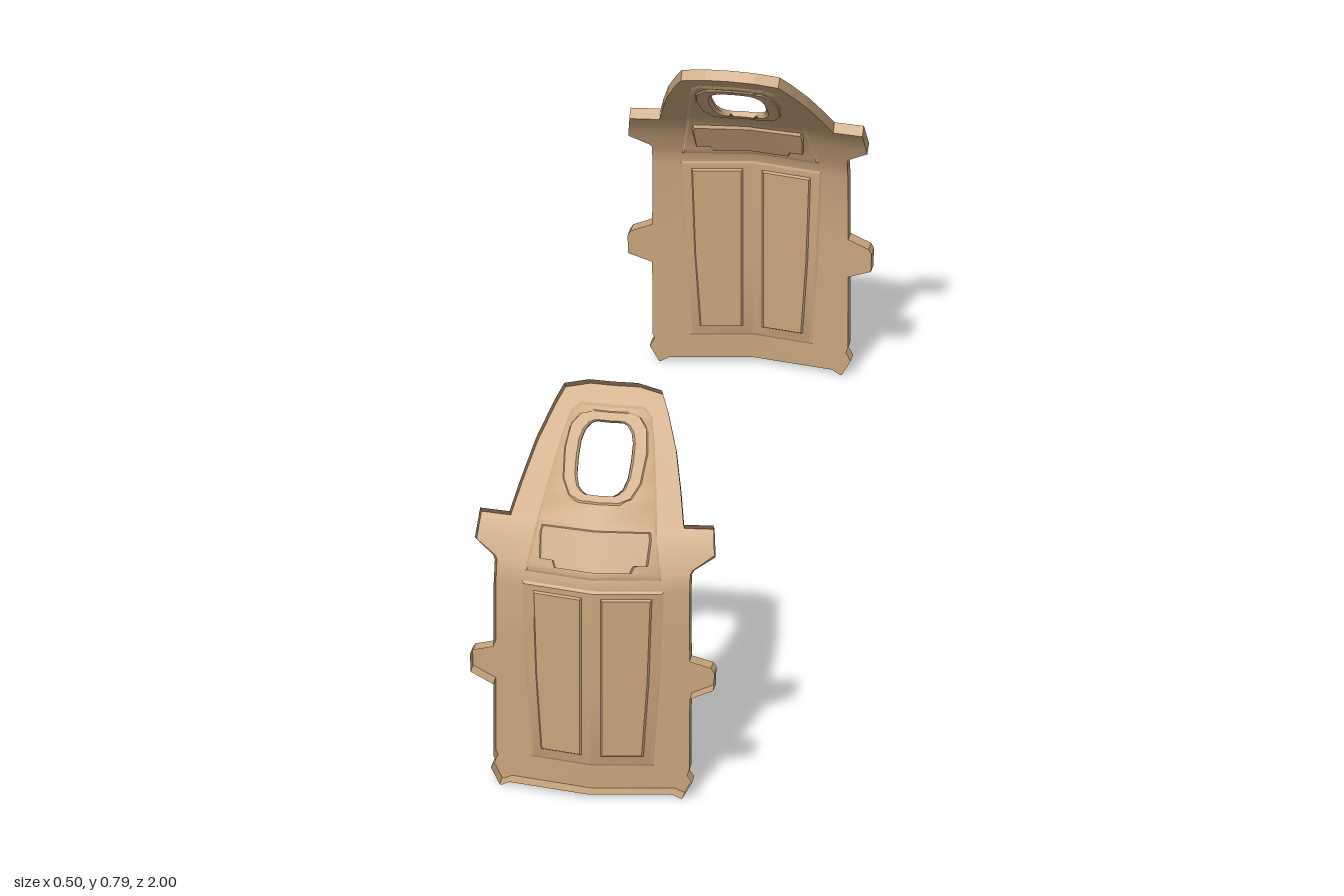
import * as THREE from 'three';
import { toCreasedNormals } from 'three/addons/utils/BufferGeometryUtils.js';

// Piecewise-linear lookup in [[key, value], ...]; "at" selects the segment, so steps are allowed
function lerpAt(list, y, at = y) {
  let i = 0;
  while (i < list.length - 2 && list[i + 1][0] < at) i++;
  const [a, b] = [list[i], list[i + 1]];
  return a[1] + (b[1] - a[1]) * (y - a[0]) / (b[0] - a[0]);
}

// Sheet: folded profile, sweep back from the middle line, and tilt of the outward direction
const PROFILE = [[-0.02, 0.97], [0.06, 0.97], [0.45, 0.97], [0.49, 0.957], [0.571, 0.91], [0.8, 0.66]];
const SWEEP = [[-0.02, 0.17], [0.45, 0.17], [0.571, 0.1], [0.8, 0.04]];
const TILT = [[-0.02, 0], [0.45, 0], [0.49, 0.42], [0.571, 0.8], [0.8, 0.83]];
// Point on the sheet, pushed outward by d
function sheetPoint(x, y, d) {
  const t = lerpAt(TILT, y);
  return [x, y + Math.sin(t) * d, lerpAt(PROFILE, y) - lerpAt(SWEEP, y) * x + Math.cos(t) * d];
}

// Mirrored sheet between an inner and an outer half-outline of [y, x] points.
// The face lies at depth "face", inset by "bevel"; walls run from its edge to depth wall(x, y).
function shell(inner, outer, face, wall, bevel) {
  const lo = outer[0][0], hi = outer[outer.length - 1][0];
  const ys = [...new Set([...inner, ...outer, ...PROFILE].map((p) => p[0]))]
    .filter((y) => y >= lo && y <= hi).sort((a, b) => a - b);
  const cells = ys.slice(1).map((y1, i) => {
    const y0 = ys[i], mid = (y0 + y1) / 2;
    return { y0, y1, a0: lerpAt(inner, y0, mid), a1: lerpAt(inner, y1, mid),
      b0: lerpAt(outer, y0, mid), b1: lerpAt(outer, y1, mid) };
  });
  const pos = [];
  const quad = (a, b, c, d) => {
    for (const p of [a, b, c, a, c, d]) pos.push(...p);
    for (const p of [d, c, b, d, b, a]) pos.push(-p[0], p[1], p[2]);
  };
  const top = (x, y, side) => sheetPoint(x + (x > 0 ? side * bevel : 0),
    y === lo ? y + bevel : y === hi ? y - bevel : y, face);
  const foot = (x, y) => sheetPoint(x, y, wall(x, y));
  // Wall across a row, over the stretch the neighbouring cell leaves open
  const cap = (x0, x1, y) => {
    if (x1 - x0 > 1e-5) quad(top(x0, y, 1), foot(x0, y), foot(x1, y), top(x1, y, -1));
  };
  const caps = (a, b, y, na, nb) => {
    cap(a, Math.min(b, na), y);
    cap(Math.max(a, nb), b, y);
  };
  cells.forEach((c, i) => {
    const { y0, y1, a0, a1, b0, b1 } = c;
    quad(top(a0, y0, 1), top(b0, y0, -1), top(b1, y1, -1), top(a1, y1, 1));
    quad(top(b0, y0, -1), foot(b0, y0), foot(b1, y1), top(b1, y1, -1));
    if (a0 > 0 || a1 > 0) quad(foot(a0, y0), top(a0, y0, 1), top(a1, y1, 1), foot(a1, y1));
    const below = cells[i - 1], above = cells[i + 1];
    if (below) caps(a0, b0, y0, below.a1, below.b1);
    else cap(a0, b0, y0);
    if (above) caps(a1, b1, y1, above.a0, above.b0);
    else cap(a1, b1, y1);
  });
  const geo = new THREE.BufferGeometry();
  geo.setAttribute('position', new THREE.Float32BufferAttribute(pos, 3));
  return toCreasedNormals(geo, 0.55);
}

// Rounded opening in the upper part
const HOLE = [[0.615, 0], [0.615, 0.026], [0.619, 0.036], [0.626, 0.045], [0.642, 0.052], [0.668, 0.054],
  [0.694, 0.053], [0.71, 0.047], [0.72, 0.037], [0.725, 0.024], [0.725, 0], [0.8, 0]];
const HOLED = [[0, 0], ...HOLE];
const SOLID = [[0, 0], [0.8, 0]];

const BODY_INNER = [[0, 0.183], [0.009, 0.167], [0.009, 0], ...HOLE];
const BODY_OUTER = [
  [0, 0.187], [0.035, 0.206], [0.052, 0.196], [0.062, 0.2],                     // corner claw
  [0.225, 0.201], [0.245, 0.249], [0.285, 0.25], [0.295, 0.244], [0.31, 0.201], // side tab
  [0.49, 0.2], [0.497, 0.204], [0.522, 0.245], [0.573, 0.239], [0.573, 0.178],  // shoulder tab
  [0.625, 0.163], [0.685, 0.143], [0.74, 0.117], [0.769, 0.1], [0.778, 0.05],   // tapered top
];

// Rim flange depth; only a small lip around the opening
const rim = (x, y) => (x < 0.06 && y > 0.6 && y < 0.73 ? 0.006
  : THREE.MathUtils.mapLinear(THREE.MathUtils.clamp(y, 0.45, 0.57), 0.45, 0.57, 0.03, 0.023));

// Pressed details: [name, inner, outer, height]
const DETAILS = [
  ['lowerFrame', SOLID, [[0.06, 0.125], [0.25, 0.137], [0.455, 0.146]], 0.003],
  ['lowerPanels', [[0, 0.018], [0.8, 0.018]], [[0.08, 0.107], [0.25, 0.118], [0.44, 0.124]], 0.008],
  ['upperFrame', HOLED, [[0.475, 0.14], [0.6, 0.118], [0.7, 0.095], [0.735, 0.084], [0.75, 0.065]], 0.003],
  ['crossPanel', SOLID, [[0.488, 0.08], [0.502, 0.086], [0.503, 0.113], [0.55, 0.116], [0.565, 0.113]], 0.008],
  ['openingRim', HOLED, [[0.6, 0.045], [0.612, 0.067], [0.635, 0.083], [0.68, 0.088], [0.715, 0.082],
    [0.732, 0.065], [0.742, 0.04]], 0.006],
];

export function createModel() {
  const root = new THREE.Group();
  const material = new THREE.MeshStandardMaterial({ color: 0xc9a57c, side: THREE.DoubleSide });
  const parts = [['plateShell', shell(BODY_INNER, BODY_OUTER, 0, rim, 0)]];
  for (const [name, inner, outer, h] of DETAILS) {
    parts.push([name + 'Outside', shell(inner, outer, h, () => 0, 0.005)]);
    parts.push([name + 'Inside', shell(inner, outer, -h, () => 0, 0.005)]);
  }
  // Two identical plates facing away from each other
  for (const [name, turn] of [['frontPlate', 0], ['backPlate', Math.PI]]) {
    const group = new THREE.Group();
    group.name = name;
    group.rotation.y = turn;
    for (const [part, geo] of parts) {
      const mesh = new THREE.Mesh(geo, material);
      mesh.name = part;
      group.add(mesh);
    }
    root.add(group);
  }
  return root;
}
